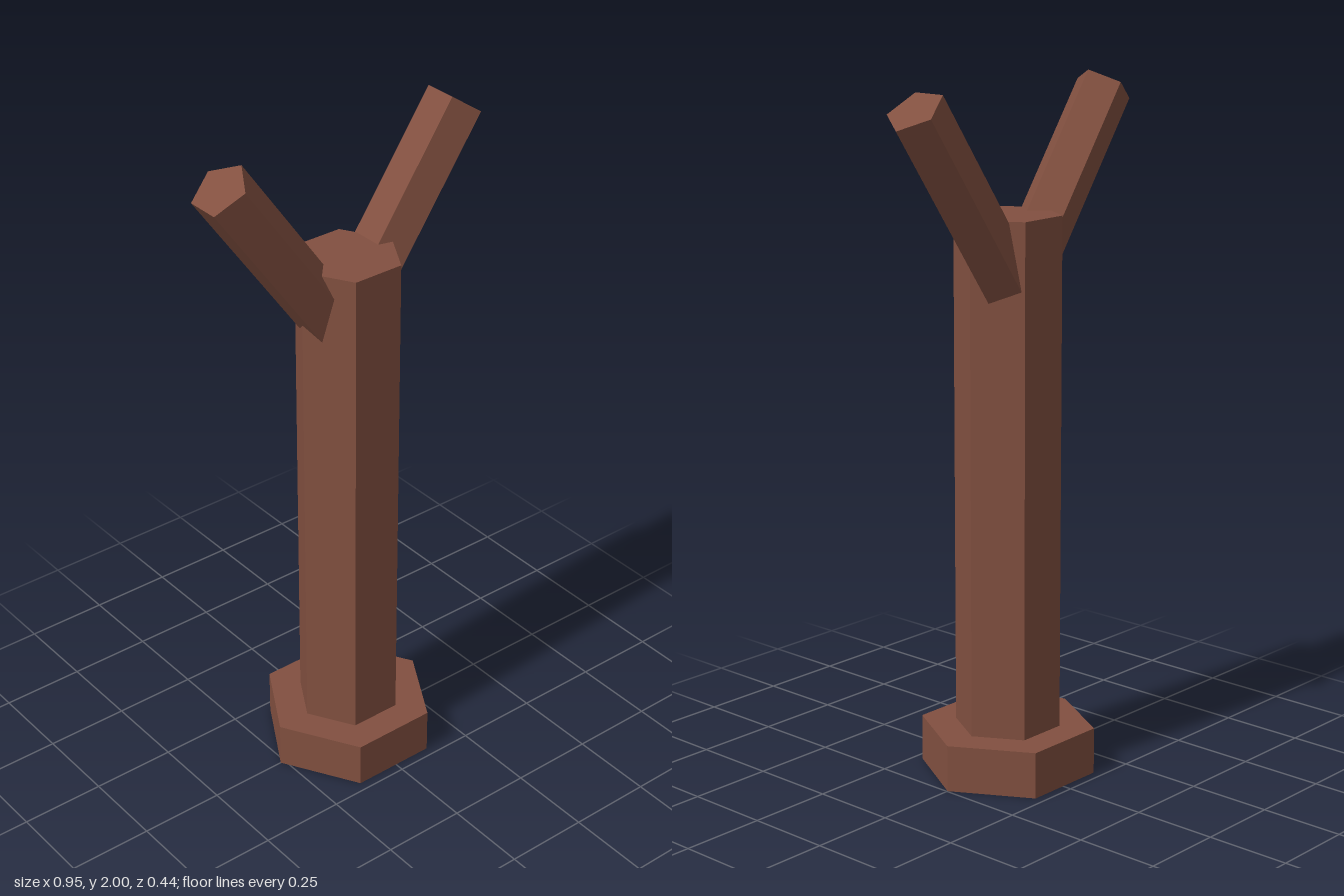
import * as THREE from 'three';

const CENTER_X = -0.0085;

export function createModel() {
  const model = new THREE.Group();
  model.name = 'forkedPost';
  const wood = new THREE.MeshStandardMaterial({ color: 0x825040, flatShading: true, side: THREE.DoubleSide });
  wood.name = 'brownWood';

  function add(name, geometry, parent = model) {
    const mesh = new THREE.Mesh(geometry, wood);
    mesh.name = name;
    parent.add(mesh);
    return mesh;
  }

  // Six-sided sleeve standing on the ground, open underneath, closed on top
  function hexSleeve(name, radius, height, innerRadius) {
    const group = new THREE.Group();
    group.name = name;
    group.position.x = CENTER_X;
    const wall = new THREE.CylinderGeometry(radius, radius, height, 6, 1, true, Math.PI / 2);
    add(name + 'Walls', wall.translate(0, height / 2, 0), group);
    const cap = innerRadius
      ? new THREE.RingGeometry(innerRadius, radius, 6)
      : new THREE.CircleGeometry(radius, 6);
    add(name + 'Top', cap.rotateX(-Math.PI / 2).translate(0, height, 0), group);
    model.add(group);
  }

  hexSleeve('base', 0.256, 0.137, 0.154);
  hexSleeve('trunk', 0.154, 1.63);

  // Five-sided branch hanging down from its tip into the trunk
  function branch(name, x, y, z, angle) {
    const length = 0.68;
    const geometry = new THREE.CylinderGeometry(0.084, 0.084, length, 5, 1, false, Math.PI / 2);
    const mesh = add(name, geometry.translate(0, -length / 2, 0));
    mesh.position.set(x, y, z);
    mesh.rotation.z = THREE.MathUtils.degToRad(angle);
  }

  branch('leftBranch', 0.403, 1.953, -0.045, -35);
  branch('rightBranch', -0.418, 1.952, 0, 35);

  return model;
}
